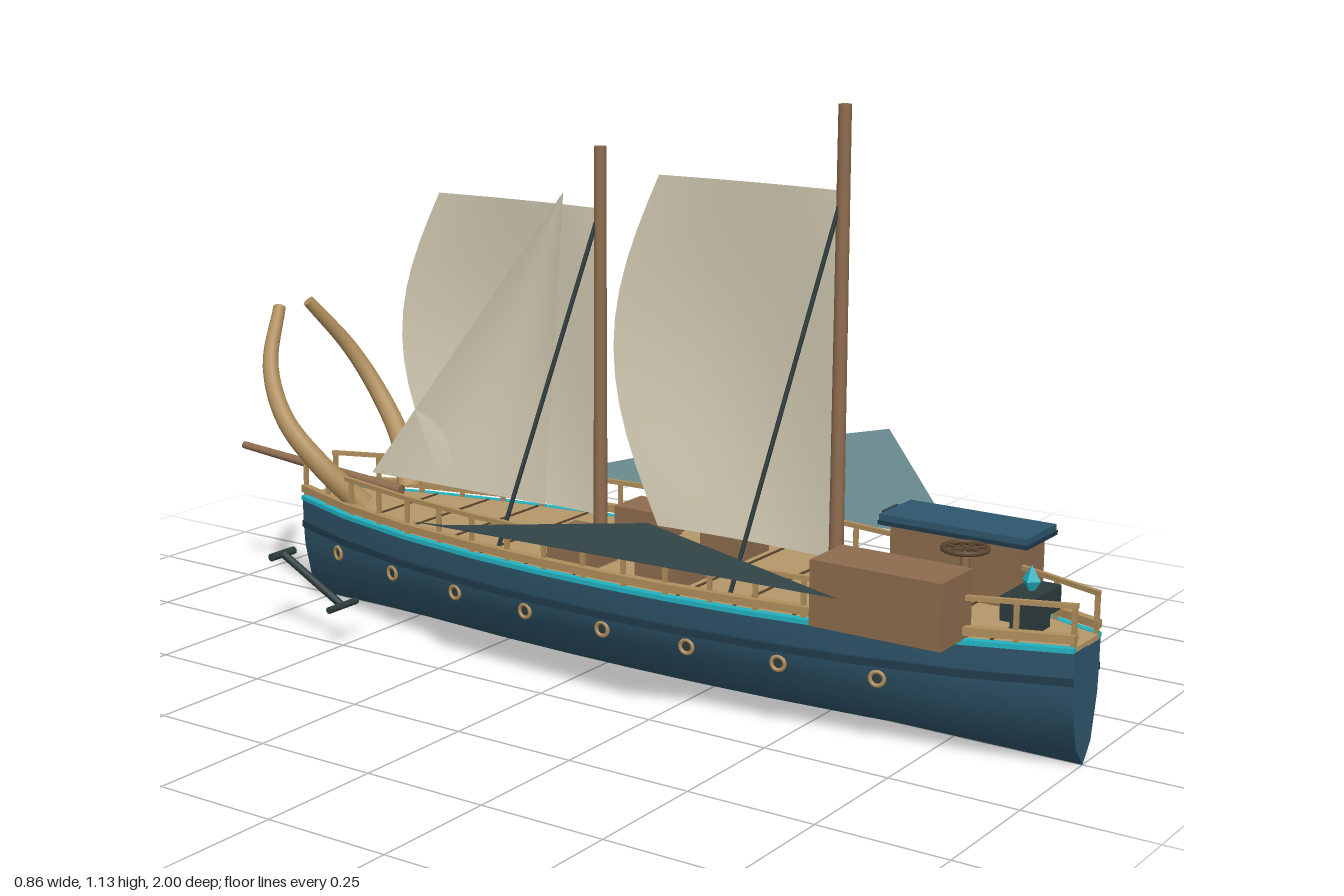
import * as THREE from 'three';
import { toCreasedNormals } from 'three/addons/utils/BufferGeometryUtils.js';

const mat = (name, color, side = THREE.FrontSide) => {
  const m = new THREE.MeshStandardMaterial({ color, side });
  m.name = name;
  return m;
};

// Half width of the hull at deck level, measured from amidships outward
const MID = 0.11, HALF = 0.89;
const WIDTHS = [[0, 0.21], [0.17, 0.207], [0.35, 0.195], [0.57, 0.168], [0.8, 0.12], [1, 0.055]];
function halfWidth(z) {
  const s = Math.min(1, Math.abs(z - MID) / HALF);
  for (let i = 1; i < WIDTHS.length; i++) {
    const [a, wa] = WIDTHS[i - 1], [b, wb] = WIDTHS[i];
    if (s <= b) return wa + (wb - wa) * (s - a) / (b - a);
  }
  return 0.055;
}
const STATIONS = [...WIDTHS.slice(1).reverse().map(p => MID - p[0] * HALF), ...WIDTHS.map(p => MID + p[0] * HALF)];

// Skin over counterclockwise [x, y] rings placed along z, with end caps
function loft(ringAt, crease = 0.9) {
  const rings = STATIONS.map(z => ringAt(z).map(([x, y]) => [x, y, z]));
  const pos = [], n = rings[0].length, last = rings.length - 1;
  const tri = (a, b, c) => pos.push(...a, ...b, ...c);
  for (let i = 0; i < last; i++) for (let j = 0; j < n; j++) {
    const k = (j + 1) % n, A = rings[i], B = rings[i + 1];
    tri(A[j], A[k], B[j]);
    tri(A[k], B[k], B[j]);
  }
  for (let j = 1; j < n - 1; j++) {
    tri(rings[last][0], rings[last][j], rings[last][j + 1]);
    tri(rings[0][0], rings[0][j + 1], rings[0][j]);
  }
  const g = new THREE.BufferGeometry();
  g.setAttribute('position', new THREE.Float32BufferAttribute(pos, 3));
  return toCreasedNormals(g, crease);
}

// Open cloth surface from a rule (u, v) -> [x, y, z]
function cloth(rule, nu = 12, nv = 12) {
  const g = new THREE.PlaneGeometry(1, 1, nu, nv), p = g.attributes.position, uv = g.attributes.uv;
  for (let i = 0; i < p.count; i++) p.setXYZ(i, ...rule(uv.getX(i), uv.getY(i)));
  g.computeVertexNormals();
  return g;
}

export function createModel() {
  const hullBlue = mat('hullBlue', 0x2f566c), trimBlue = mat('trimBlue', 0x203b4b);
  const deckTan = mat('deckTan', 0xb5976a), wood = mat('wood', 0x8e6c4e), darkWood = mat('darkWood', 0x5a432e);
  const railTan = mat('railTan', 0xb08e5c), iron = mat('iron', 0x2c3b3d), cyan = mat('cyan', 0x22b3c2);
  const canvas = mat('canvas', 0xd8d0b8, THREE.DoubleSide), finTeal = mat('finTeal', 0x66868b, THREE.DoubleSide);

  const model = new THREE.Group();
  const add = (name, geo, m, x = 0, y = 0, z = 0) => {
    const mesh = new THREE.Mesh(geo, m);
    mesh.name = name;
    mesh.position.set(x, y, z);
    model.add(mesh);
    return mesh;
  };
  const box = (name, m, w, h, d, x, y, z) => add(name, new THREE.BoxGeometry(w, h, d), m, x, y, z);
  const rod = (name, m, a, b, r0, r1 = r0, sides = 10) => {
    const A = new THREE.Vector3(...a), B = new THREE.Vector3(...b), d = B.clone().sub(A);
    const mesh = add(name, new THREE.CylinderGeometry(r1, r0, d.length(), sides), m);
    mesh.position.copy(A).add(B).multiplyScalar(0.5);
    mesh.quaternion.setFromUnitVectors(new THREE.Vector3(0, 1, 0), d.normalize());
    return mesh;
  };
  const strip = (name, m, s, x0, x1, y0, y1) => add(name, loft(z => {
    const w = halfWidth(z), a = w + x0, b = w + x1;
    return s > 0 ? [[a, y0], [b, y0], [b, y1], [a, y1]] : [[-b, y0], [-a, y0], [-a, y1], [-b, y1]];
  }), m);

  // Hull and deck
  const profile = [[1, 0.22], [0.975, 0.165], [0.92, 0.12], [0.55, 0.036]];
  add('hull', loft(z => {
    const w = halfWidth(z);
    return [...profile.map(([k, y]) => [-k * w, y]), [0, 0], ...profile.slice().reverse().map(([k, y]) => [k * w, y])];
  }), hullBlue);
  add('deck', loft(z => {
    const w = halfWidth(z) - 0.006;
    return [[-w, 0.218], [w, 0.218], [w, 0.228], [-w, 0.228]];
  }), deckTan);
  for (let i = 0; i < 13; i++) {
    const z = -0.55 + i * 0.1175;
    box('plankSeam', darkWood, 2 * halfWidth(z) - 0.03, 0.003, 0.005, 0, 0.229, z);
  }

  for (const s of [1, -1]) {
    // Side bands and railing
    strip('wale', trimBlue, s, -0.012, 0.003, 0.16, 0.174);
    strip('glowBand', cyan, s, -0.012, 0.004, 0.22, 0.229);
    strip('gunwale', railTan, s, -0.014, 0.003, 0.237, 0.252);
    strip('handrail', railTan, s, -0.014, -0.005, 0.298, 0.307);
    for (let i = 0; i < 20; i++) {
      const z = -0.775 + i * 1.77 / 19;
      box('railPost', railTan, 0.008, 0.075, 0.008, s * (halfWidth(z) - 0.0095), 0.262, z);
    }

    // Portholes turned to follow the planking
    for (let i = 0; i < 8; i++) {
      const z = -0.64 + i * 0.187, slope = (halfWidth(z + 0.01) - halfWidth(z - 0.01)) / 0.02;
      const x = s * (halfWidth(z) * 0.94 + 0.002), turn = Math.atan2(s, -slope);
      add('portholeRing', new THREE.TorusGeometry(0.013, 0.004, 8, 18), railTan, x, 0.135, z).rotation.y = turn;
      add('portholeGlass', new THREE.CircleGeometry(0.012, 16), iron, x, 0.135, z).rotation.y = turn;
    }

    // Side fin
    const fin = new THREE.BufferGeometry();
    fin.setAttribute('position', new THREE.Float32BufferAttribute(
      [s * 0.225, 0.295, 0.63, s * 0.43, 0.437, 0.37, s * 0.33, 0.325, -0.16, s * 0.23, 0.282, -0.335], 3));
    fin.setIndex(s > 0 ? [0, 1, 2, 0, 2, 3] : [0, 2, 1, 0, 3, 2]);
    add('sideFin', fin.toNonIndexed(), finTeal).geometry.computeVertexNormals();

    // Tapered bow horn
    const path = new THREE.CatmullRomCurve3([[0.075, 0.24, -0.59], [0.13, 0.33, -0.66], [0.15, 0.42, -0.735],
      [0.125, 0.52, -0.795], [0.045, 0.63, -0.84]].map(([x, y, z]) => new THREE.Vector3(s * x, y, z)));
    const horn = new THREE.TubeGeometry(path, 28, 1, 12), hp = horn.attributes.position, v = new THREE.Vector3();
    for (let i = 0; i < hp.count; i++) {
      const t = Math.floor(i / 13) / 28, c = path.getPointAt(t);
      v.fromBufferAttribute(hp, i).sub(c).multiplyScalar(0.026 - 0.013 * t).add(c);
      hp.setXYZ(i, v.x, v.y, v.z);
    }
    horn.computeVertexNormals();
    add('bowHorn', horn, railTan);
    const tip = path.getPointAt(1), end = path.getTangentAt(1);
    const cap = add('hornTip', new THREE.CircleGeometry(0.013, 12), railTan, tip.x, tip.y, tip.z);
    cap.quaternion.setFromUnitVectors(new THREE.Vector3(0, 0, 1), end);

    // Anchor
    rod('anchorShank', iron, [s * 0.245, 0.163, -0.66], [s * 0.245, 0.082, -0.505], 0.008);
    rod('anchorStock', iron, [s * 0.21, 0.163, -0.665], [s * 0.278, 0.163, -0.665], 0.008);
    rod('anchorFoot', iron, [s * 0.203, 0.082, -0.503], [s * 0.287, 0.082, -0.503], 0.007);

    // Deck crates
    for (const z of [0, 0.205]) box('crate', wood, 0.095, 0.065, 0.1, s * 0.113, 0.26, z);
  }

  // Masts, shrouds and billowing sails
  const masts = [{ z: 0.497, top: 1.13, head: 0.975 }, { z: -0.037, top: 1.02, head: 0.9 }];
  for (const { z, top, head } of masts) {
    rod('mast', wood, [0, 0.225, z], [0, top, z], 0.014, 0.012, 14);
    for (const s of [1, -1]) rod('shroud', iron, [0, head, z], [s * 0.172, 0.245, z - 0.122], 0.0045, 0.0045, 6);
    add('sail', cloth((u, v) => {
      const reach = 0.39 + 0.105 * Math.sin(Math.PI * v);
      return [0.035 * Math.sin(Math.PI * u) * (0.25 + 0.75 * Math.sin(Math.PI * v)), 0.29 + (head - 0.29) * v, z - 0.008 - reach * u];
    }), canvas);
  }
  add('jib', cloth((u, v) => {
    const w = 1 - v;
    return [0.02 * Math.sin(Math.PI * u) * Math.sin(Math.PI * v), 0.29 + 0.635 * v, -0.125 - w * (0.05 + 0.455 * u)];
  }), canvas);
  rod('bowsprit', wood, [0, 0.262, -0.55], [0, 0.298, -1], 0.012, 0.008, 12);

  // Deck houses
  box('storeHouse', wood, 0.115, 0.122, 0.26, -0.147, 0.289, 0.69);
  box('cabin', wood, 0.112, 0.118, 0.26, 0.147, 0.287, 0.69);
  box('cabinRoof', hullBlue, 0.125, 0.02, 0.3, 0.145, 0.355, 0.69);
  box('roofEdge', trimBlue, 0.129, 0.008, 0.304, 0.145, 0.349, 0.69);
  box('cabinLamp', iron, 0.055, 0.012, 0.015, 0.145, 0.356, 0.535);

  // Steering wheel lying flat on its post
  rod('wheelPost', wood, [0, 0.225, 0.76], [0, 0.355, 0.76], 0.012, 0.008);
  add('wheelRim', new THREE.TorusGeometry(0.04, 0.005, 8, 24), darkWood, 0, 0.355, 0.76).rotation.x = Math.PI / 2;
  for (let i = 0; i < 4; i++) {
    const a = i * Math.PI / 4, c = 0.046 * Math.cos(a), d = 0.046 * Math.sin(a);
    rod('wheelSpoke', darkWood, [-c, 0.355, 0.76 - d], [c, 0.355, 0.76 + d], 0.003, 0.003, 6);
  }

  // Crystal on its iron chest
  box('chestFoot', iron, 0.07, 0.03, 0.045, 0, 0.243, 0.89);
  box('crystalChest', iron, 0.122, 0.045, 0.06, 0, 0.278, 0.89);
  const crystal = add('crystal', new THREE.OctahedronGeometry(0.018), cyan, 0, 0.318, 0.89);
  crystal.scale.y = 1.6;

  return model;
}
